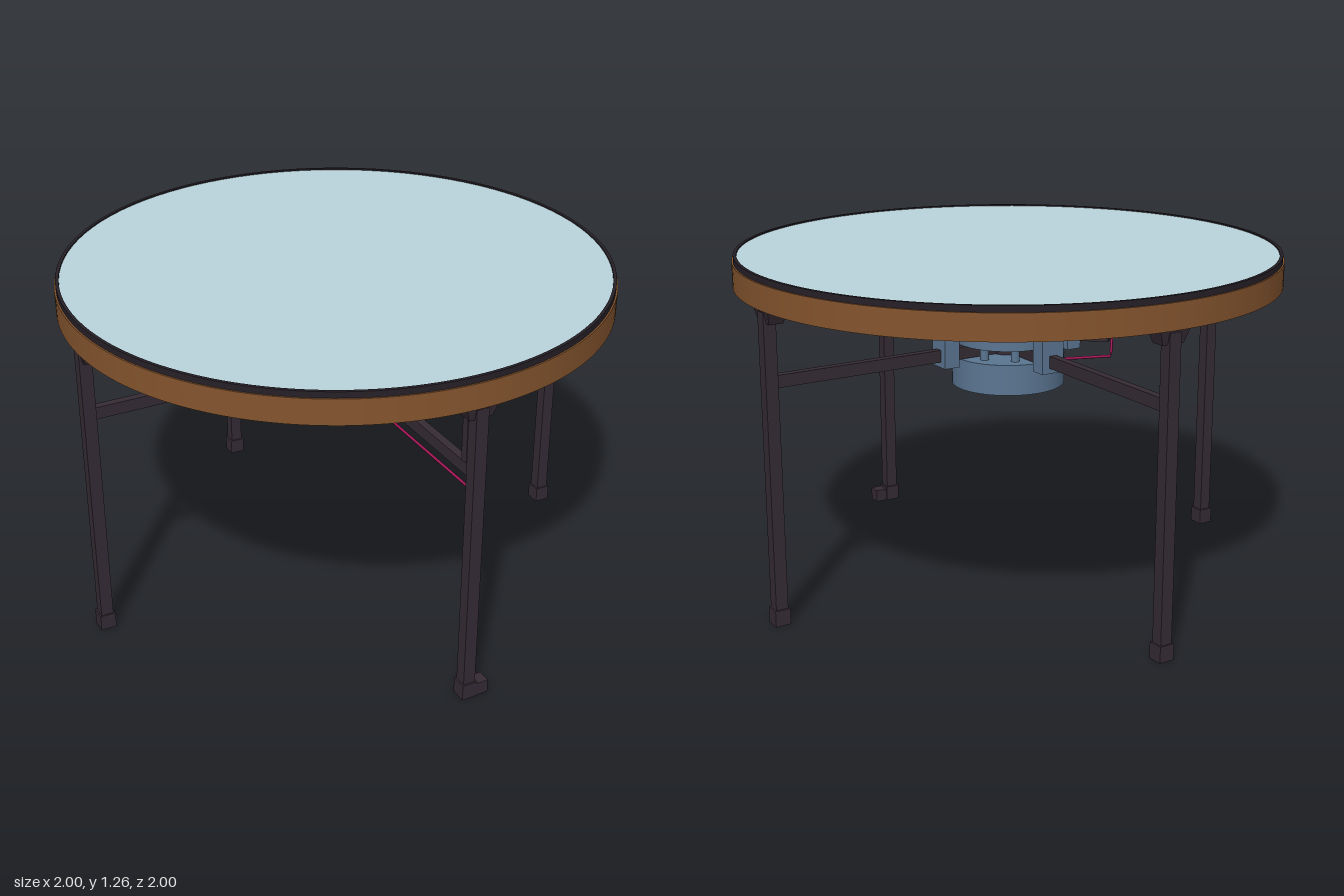
import * as THREE from 'three';
import { mergeGeometries } from 'three/addons/utils/BufferGeometryUtils.js';

function mat(name, color, side = THREE.FrontSide) {
  const m = new THREE.MeshStandardMaterial({ color, side });
  m.name = name;
  return m;
}

export function createModel() {
  const root = new THREE.Group();
  root.name = 'roundTable';
  const M = {
    wood: mat('wood', 0x85552e, THREE.DoubleSide),
    black: mat('black', 0x262027, THREE.DoubleSide),
    leg: mat('darkMetal', 0x352b34),
    glass: mat('glass', 0xbad5dc),
    blue: mat('blue', 0x5b7692),
    green: mat('green', 0x6f9f82),
    orange: mat('orange', 0xcb8b45),
    silver: mat('silver', 0xa8bfc8),
    wire: mat('wire', 0xa8175a),
  };

  const add = (name, geo, m, x = 0, y = 0, z = 0, parent = root) => {
    const mesh = new THREE.Mesh(geo, m);
    mesh.name = name;
    mesh.position.set(x, y, z);
    parent.add(mesh);
    return mesh;
  };
  // box given by its size and the height of its underside
  const box = (name, m, w, h, d, x, y, z, parent) =>
    add(name, new THREE.BoxGeometry(w, h, d), m, x, y + h / 2, z, parent);
  const disc = (name, m, r, y0, y1, x = 0, z = 0, seg = 64) =>
    add(name, new THREE.CylinderGeometry(r, r, y1 - y0, seg), m, x, (y0 + y1) / 2, z);
  // ring with a rectangular section and sharp edges
  const ring = (name, m, r0, r1, y0, y1) => {
    const s = new THREE.Shape().absarc(0, 0, r1, 0, Math.PI * 2);
    s.holes.push(new THREE.Path().absarc(0, 0, r0, 0, Math.PI * 2, true));
    const g = new THREE.ExtrudeGeometry(s, { depth: y1 - y0, bevelEnabled: false, curveSegments: 96 });
    g.rotateX(-Math.PI / 2);
    return add(name, g, m, 0, y0, 0);
  };
  const cable = (name, pts, r = 0.005) => {
    const path = new THREE.CurvePath();
    const v = pts.map((p) => new THREE.Vector3(...p));
    for (let i = 1; i < v.length; i++) path.add(new THREE.LineCurve3(v[i - 1], v[i]));
    add(name, new THREE.TubeGeometry(path, v.length * 8, r, 6), M.wire);
  };

  // table top
  ring('woodRim', M.wood, 0.98, 1.0, 1.15, 1.242);
  ring('rimLining', M.black, 0.967, 0.98, 1.152, 1.24);
  ring('edgeTrim', M.black, 0.982, 0.994, 1.242, 1.264);
  disc('underside', M.black, 0.979, 1.236, 1.246, 0, 0, 96);
  disc('glassTop', M.glass, 0.982, 1.246, 1.259, 0, 0, 96);

  // four legs on the diagonals, joined by a cross of rails
  for (let i = 0; i < 4; i++) {
    const g = new THREE.Group();
    g.name = 'legAssembly' + (i + 1);
    g.rotation.y = Math.PI / 4 + (i * Math.PI) / 2;
    root.add(g);
    box('leg', M.leg, 0.046, 1.12, 0.046, 0, 0.02, 0.965, g);
    box('foot', M.leg, 0.058, 0.06, 0.058, 0, 0, 0.965, g);
    const cap = new THREE.CylinderGeometry(0.085, 0.06, 0.05, 4).rotateY(Math.PI / 4);
    const capGeo = cap.scale(1, 1, 0.62).toNonIndexed();
    capGeo.computeVertexNormals();
    add('legBracket', capGeo, M.leg, 0, 1.125, 0.95, g);
    box('rail', M.leg, 0.03, 0.045, 0.95, 0, 0.87, 0.475, g);
    box('motorBracket', M.blue, 0.09, 0.14, 0.06, 0, 0.85, 0.268, g);
    box('bracketArm', M.blue, 0.06, 0.03, 0.12, 0, 0.96, 0.2, g);
    if (i === 0) {
      box('footSwitch', M.leg, 0.055, 0.05, 0.05, 0.047, 0, 0.967, g);
      box('controlBox', M.leg, 0.05, 0.17, 0.03, 0, 0.925, 0.927, g);
    }
  }

  // lower drum with a perforated base and a curved circuit panel
  disc('lowerDrum', M.blue, 0.21, 0.755, 0.868);
  add('circuitPanel', new THREE.CylinderGeometry(0.215, 0.215, 0.073, 24, 1, false, 0.14, 1.29), M.green, 0, 0.808, 0);
  const holes = [];
  for (let r = -7; r <= 7; r++) {
    for (let c = -7; c <= 7; c++) {
      const x = (c + (r & 1) / 2) * 0.026;
      const z = r * 0.0225;
      if (Math.hypot(x, z) > 0.165) continue;
      holes.push(new THREE.CircleGeometry(0.0085, 6).rotateX(Math.PI / 2).translate(x, 0, z));
    }
  }
  add('ventHoles', mergeGeometries(holes), M.black, 0, 0.753, 0);

  // posts and upper drum
  for (let i = 0; i < 8; i++) {
    const a = ((i + 0.5) * Math.PI) / 4;
    disc('post', M.blue, 0.016, 0.865, 0.93, 0.15 * Math.sin(a), 0.15 * Math.cos(a), 16);
  }
  disc('spindle', M.leg, 0.06, 0.86, 0.93, 0, 0, 24);
  disc('basePlate', M.blue, 0.195, 0.915, 0.99);
  disc('upperDrum', M.blue, 0.16, 0.99, 1.052);

  // toothed ring
  const gear = new THREE.Shape();
  const teeth = 36;
  for (let i = 0; i < teeth * 4; i++) {
    const a = (i / (teeth * 4)) * Math.PI * 2;
    const r = i % 4 < 2 ? 0.17 : 0.156;
    if (i) gear.lineTo(r * Math.cos(a), r * Math.sin(a));
    else gear.moveTo(r, 0);
  }
  gear.holes.push(new THREE.Path().absarc(0, 0, 0.1, 0, Math.PI * 2, true));
  const gearGeo = new THREE.ExtrudeGeometry(gear, { depth: 0.025, bevelEnabled: false, curveSegments: 24 });
  add('gearRing', gearGeo.rotateX(-Math.PI / 2), M.orange, 0, 1.058, 0);
  disc('hub', M.orange, 0.06, 1.05, 1.1, 0, 0, 32);
  disc('pinion', M.orange, 0.035, 1.04, 1.08, 0.155, 0.0, 20);

  // swinging arm with a carriage at each end
  box('arm', M.silver, 1.0, 0.016, 0.035, 0.1, 1.09, -0.06);
  box('armBlock', M.orange, 0.135, 0.07, 0.07, -0.482, 1.055, -0.05);
  box('armBlockLip', M.orange, 0.09, 0.03, 0.05, -0.37, 1.055, -0.05);
  box('armCarriage', M.green, 0.055, 0.07, 0.12, 0.61, 1.055, -0.085);
  box('carriageClamp', M.green, 0.09, 0.035, 0.08, 0.55, 1.085, -0.085);
  box('pivotBlock', M.silver, 0.1, 0.025, 0.1, 0.0, 1.09, -0.03);
  box('upperLink', M.green, 0.41, 0.025, 0.05, 0.225, 1.133, 0.06);
  box('linkBlock', M.green, 0.14, 0.045, 0.11, 0.09, 1.1, -0.07);

  // side motor and sensor
  box('motorShelf', M.blue, 0.27, 0.018, 0.09, -0.27, 1.0, -0.05);
  box('sideMotor', M.leg, 0.11, 0.06, 0.08, -0.335, 0.945, -0.05);
  disc('motorShaft', M.orange, 0.016, 1.018, 1.07, -0.335, -0.05, 16);
  box('sensorShelf', M.blue, 0.14, 0.03, 0.08, 0.215, 0.99, -0.02);
  disc('sensor', M.blue, 0.03, 1.015, 1.075, 0.247, -0.02, 24);
  disc('sensorTip', M.leg, 0.01, 1.075, 1.1, 0.255, -0.02, 12);

  // cables
  cable('powerCable', [[0.12, 0.82, 0.12], [0.65, 0.82, 0.65]]);
  cable('lampCable', [[0.65, 0.82, 0.65], [0.664, 0.82, 0.595], [0.664, 1.236, 0.595]]);
  cable('motorCable', [[-0.24, 1.03, -0.12], [-0.41, 1.03, -0.12], [-0.41, 0.91, -0.15], [-0.15, 0.88, -0.15]]);
  cable('sensorCable', [[0.0, 0.88, -0.02], [0.2, 0.88, -0.15], [0.22, 1.0, -0.15]]);
  return root;
}
